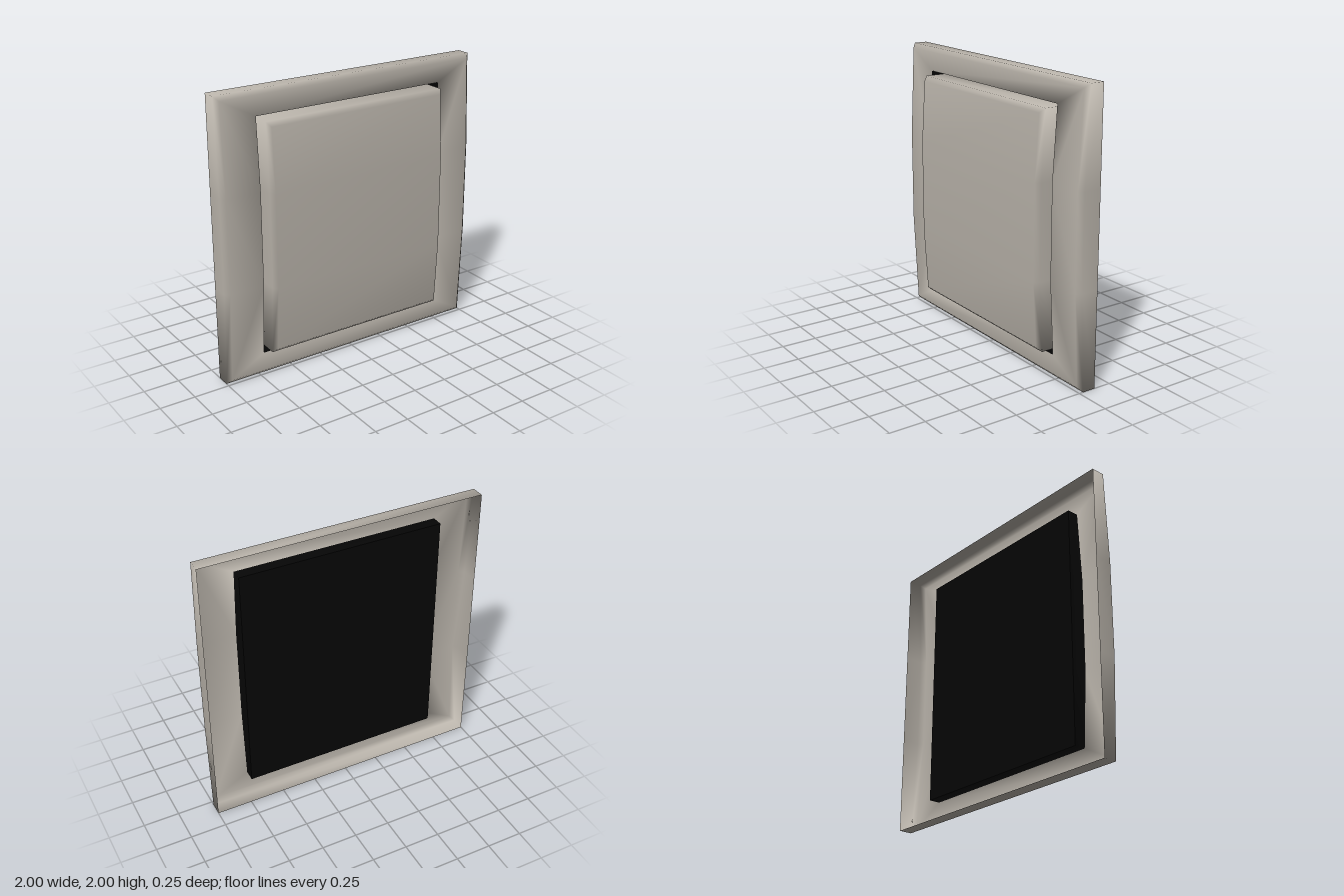
import * as THREE from 'three';

const plastic = new THREE.MeshStandardMaterial({ color: 0xbab4ab, side: THREE.DoubleSide });
plastic.name = 'warm grey plastic';
const dark = new THREE.MeshStandardMaterial({ color: 0x060606, side: THREE.DoubleSide });
dark.name = 'black recess';

// Heights where the bowed front bends
const LOW = 0.68, HIGH = 1.34;
const N = 8;

// One rectangular cross-section: half width, margin from bottom and top, depth, and bow of the mid part
function rectLoop(hx, margin, z, bow) {
  const y0 = margin, y1 = 2 - margin;
  return [
    [-hx, y0, z], [hx, y0, z], [hx, LOW, z + bow], [hx, HIGH, z + bow],
    [hx, y1, z], [-hx, y1, z], [-hx, HIGH, z + bow], [-hx, LOW, z + bow],
  ];
}

// Skin the loops with shared, smooth vertices; each strip of loops is 48 indices long
function skin(loops, capped) {
  const index = [];
  const quad = (a, b, c, d) => index.push(a, b, c, a, c, d);
  for (let l = 0; l < loops.length - 1; l++) {
    for (let i = 0; i < N; i++) {
      const j = (i + 1) % N, a = l * N, b = a + N;
      // Diagonals run from each outer corner to the inner bend
      if (i === 3 || i === 7) quad(b + i, a + i, a + j, b + j);
      else quad(a + i, a + j, b + j, b + i);
    }
  }
  if (capped) {
    const o = (loops.length - 1) * N;
    quad(o, o + 1, o + 2, o + 7);
    quad(o + 7, o + 2, o + 3, o + 6);
    quad(o + 6, o + 3, o + 4, o + 5);
  }
  const geometry = new THREE.BufferGeometry();
  geometry.setAttribute('position', new THREE.Float32BufferAttribute(loops.flat(2), 3));
  geometry.setIndex(index);
  geometry.computeVertexNormals();
  return geometry;
}

export function createModel() {
  const model = new THREE.Group();
  model.name = 'wallSwitch';
  const add = (name, geometry, material) => {
    const mesh = new THREE.Mesh(geometry, material);
    mesh.name = name;
    model.add(mesh);
    return mesh;
  };

  // Surround: hollow shell with chamfered rim and bowed face, turning into the black recess walls
  const frame = skin([
    rectLoop(1, 0, -0.125, 0),
    rectLoop(1, 0, -0.03, 0.03),
    rectLoop(0.97, 0.03, 0, 0.03),
    rectLoop(0.72, 0.165, 0, 0.03),
    rectLoop(0.72, 0.165, -0.08, 0),
  ], false);
  const strip = N * 6;
  frame.addGroup(0, strip * 3, 0);
  frame.addGroup(strip * 3, strip, 1);
  add('frame', frame, [plastic, dark]);

  // Floor of the recess
  add('recessFloor', new THREE.PlaneGeometry(1.44, 1.67), dark).position.set(0, 1, -0.08);

  // Rocker: bowed plate with chamfered edges, seated in the recess
  add('rocker', skin([
    rectLoop(0.69, 0.19, -0.078, 0),
    rectLoop(0.69, 0.19, 0.065, 0.028),
    rectLoop(0.665, 0.22, 0.098, 0.028),
  ], true), plastic);

  return model;
}
